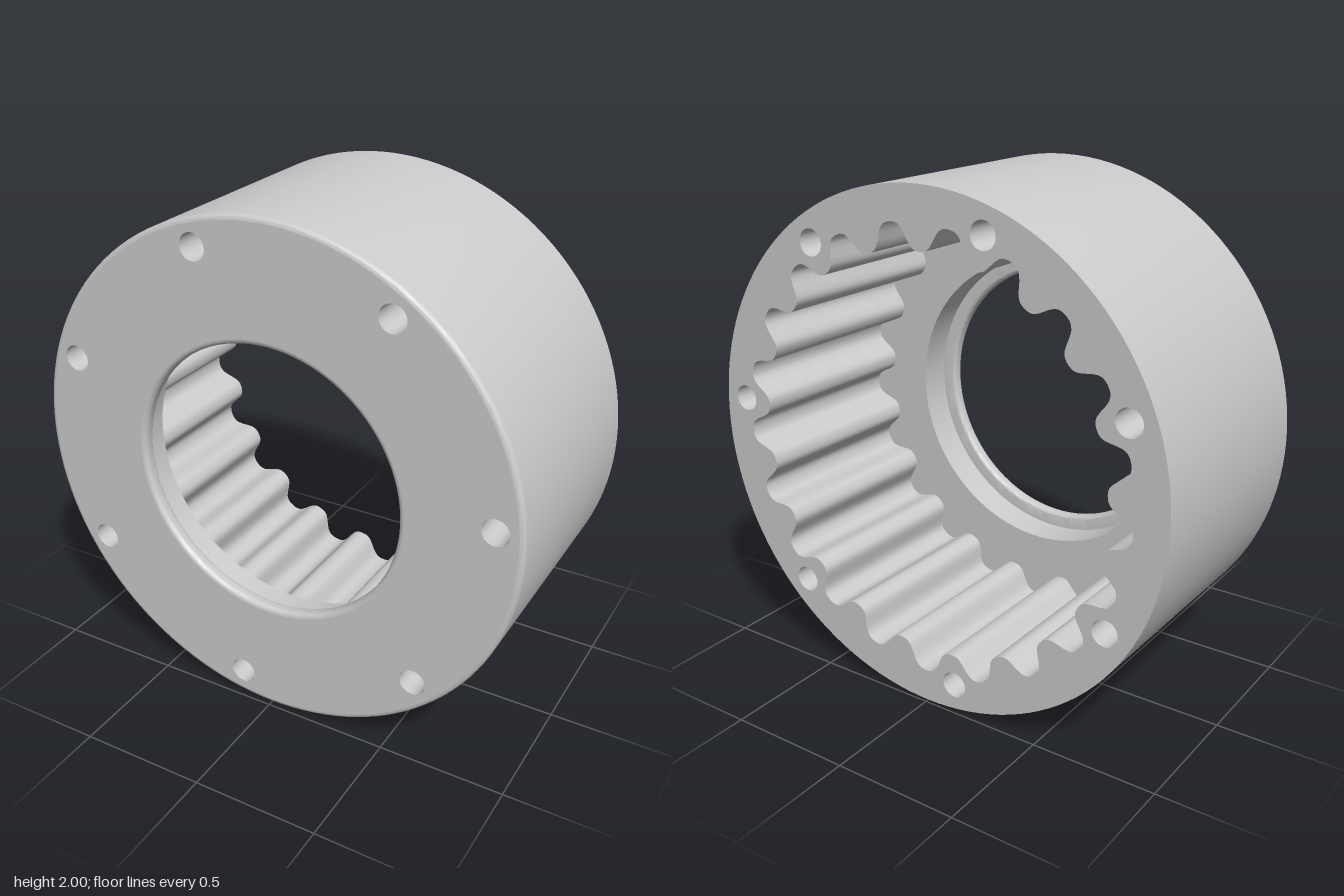
import * as THREE from 'three';
import { toCreasedNormals } from 'three/addons/utils/BufferGeometryUtils.js';

const BACK = -0.485, FRONT = 0.485, FLOOR = 0.295;   // z levels
const FILLET = 0.02, BORE = 0.54, COUNTERBORE = 0.6; // radii
const BOLTS = 7, TEETH = 21, START = 4.7 * Math.PI / 180;

// Closed loop of points whose radius follows a rule of the angle
function ring(count, radius, cx = 0, cy = 0) {
  return Array.from({ length: count }, (_, i) => {
    const a = (i / count) * Math.PI * 2;
    const r = typeof radius === 'function' ? radius(a) : radius;
    return new THREE.Vector2(cx + r * Math.cos(a), cy + r * Math.sin(a));
  });
}

// Rounded internal teeth: a tooth tip sits at every bolt hole
const toothRadius = (a) =>
  0.82 - 0.05 * Math.tanh(1.5 * Math.cos(TEETH * (a - START))) / Math.tanh(1.5);

// Flat face at height z, with holes, looking forward or backward
function face(outline, holes, z, backward) {
  const shape = new THREE.Shape(outline);
  shape.holes = holes.map((h) => new THREE.Path(h));
  const geo = new THREE.ShapeGeometry(shape);
  if (backward) {
    geo.setIndex(Array.from(geo.index.array).reverse());
    geo.computeVertexNormals();
  }
  return geo.translate(0, 0, z);
}

// Wall along a closed loop, facing the inside of the loop
function innerWall(loop, z0, z1) {
  const n = loop.length, pos = [], idx = [];
  for (const p of loop) pos.push(p.x, p.y, z0, p.x, p.y, z1);
  for (let i = 0; i < n; i++) {
    const a = 2 * i, b = 2 * ((i + 1) % n);
    idx.push(a, a + 1, b, b, a + 1, b + 1);
  }
  const geo = new THREE.BufferGeometry();
  geo.setAttribute('position', new THREE.Float32BufferAttribute(pos, 3));
  geo.setIndex(idx);
  geo.computeVertexNormals();
  return geo;
}

// Quarter-round profile points from angle a0 to a1
function arc(cx, cy, r, a0, a1) {
  return Array.from({ length: 7 }, (_, i) => {
    const a = a0 + (a1 - a0) * (i / 6);
    return new THREE.Vector2(cx + r * Math.cos(a), cy + r * Math.sin(a));
  });
}

// Profile turned around the z axis
function turned(profile) {
  const geo = new THREE.LatheGeometry(profile, 128).rotateX(Math.PI / 2);
  return toCreasedNormals(geo, 0.6);
}

export function createModel() {
  const group = new THREE.Group();
  const material = new THREE.MeshStandardMaterial({ color: 0xcccccc });
  const add = (name, geo) => {
    const mesh = new THREE.Mesh(geo, material);
    mesh.name = name;
    mesh.position.y = 1;
    group.add(mesh);
  };

  const teeth = ring(TEETH * 20, toothRadius);
  const bolts = Array.from({ length: BOLTS }, (_, i) => {
    const a = START + (i / BOLTS) * Math.PI * 2;
    return ring(32, 0.052, 0.897 * Math.cos(a), 0.897 * Math.sin(a));
  });
  const v = (x, y) => new THREE.Vector2(x, y);
  const P = Math.PI;

  // Outer cylinder with a rounded front edge
  add('outerWall', turned([
    v(1, BACK), ...arc(1 - FILLET, FRONT - FILLET, FILLET, 0, P / 2),
  ]));

  // Front bore: rounded lip, ledge and counterbore
  add('boreLip', turned([
    ...arc(BORE + FILLET, FRONT - FILLET, FILLET, P / 2, P),
    ...arc(BORE + 0.015, 0.445, 0.015, P, P * 1.5),
    v(COUNTERBORE, 0.43), v(COUNTERBORE, FLOOR),
  ]));

  // Flat faces
  add('frontFace', face(ring(128, 1 - FILLET), [ring(128, BORE + FILLET), ...bolts], FRONT, false));
  add('backFace', face(ring(128, 1), [teeth, ...bolts], BACK, true));
  add('cavityFloor', face(teeth, [ring(128, COUNTERBORE)], FLOOR, true));

  // Toothed cavity and through holes
  add('internalTeeth', innerWall(teeth, BACK, FLOOR));
  bolts.forEach((loop, i) => add(`boltHole${i + 1}`, innerWall(loop, BACK, FRONT)));

  return group;
}
